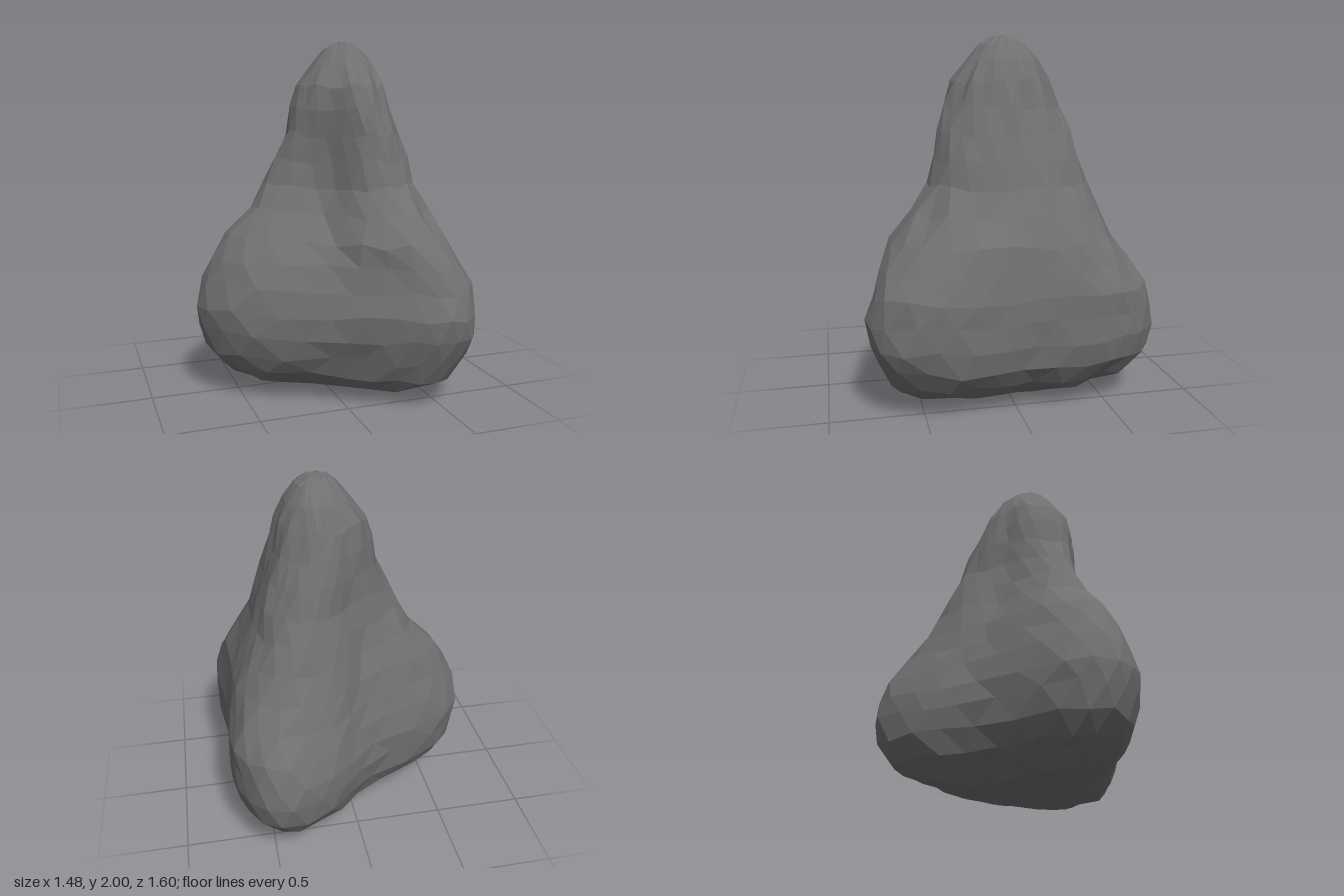
import * as THREE from 'three';

// Height, left, right, front and back limits of each cross-section
const LEVELS = [
  [0.01, -0.16, 0.37, 0.22, -0.24],
  [0.03, -0.4, 0.43, 0.4, -0.36],
  [0.09, -0.52, 0.55, 0.57, -0.53],
  [0.17, -0.61, 0.64, 0.67, -0.68],
  [0.28, -0.69, 0.715, 0.74, -0.77],
  [0.41, -0.73, 0.74, 0.79, -0.79],
  [0.53, -0.74, 0.74, 0.8, -0.78],
  [0.66, -0.7, 0.74, 0.76, -0.74],
  [0.78, -0.64, 0.71, 0.71, -0.65],
  [0.91, -0.56, 0.68, 0.66, -0.57],
  [1.06, -0.41, 0.61, 0.54, -0.5],
  [1.2, -0.33, 0.54, 0.44, -0.45],
  [1.34, -0.26, 0.5, 0.4, -0.4],
  [1.48, -0.2, 0.45, 0.37, -0.36],
  [1.62, -0.17, 0.4, 0.33, -0.31],
  [1.75, -0.13, 0.36, 0.28, -0.26],
  [1.87, -0.04, 0.31, 0.19, -0.2],
  [1.95, 0.03, 0.25, 0.12, -0.12],
  [1.985, 0.08, 0.19, 0.06, -0.06],
];

// Outlines as (0..1 across x, -1..1 across z): three lobes below, three ridges
// at mid height with a steep hollow beside the front one, rounded above
const LOBED = [[0, 0.02], [0.1, 0.32], [0.43, 0.63], [0.64, 0.87], [0.81, 1], [0.94, 0.88], [1, 0.45],
  [0.975, 0], [0.98, -0.45], [0.95, -0.78], [0.83, -1], [0.62, -0.88], [0.43, -0.58], [0.09, -0.28]];
const RIDGED = [[0, 0], [0.09, 0.27], [0.35, 0.46], [0.51, 0.87], [0.69, 1], [0.85, 0.84], [0.97, 0.45],
  [0.985, 0], [0.98, -0.45], [0.91, -0.8], [0.74, -1], [0.53, -0.9], [0.35, -0.6], [0.08, -0.3]];
const ROUND = [[0, 0], [0.08, 0.47], [0.3, 0.82], [0.48, 1], [0.65, 0.97], [0.85, 0.75], [0.97, 0.4],
  [1, 0], [0.97, -0.4], [0.85, -0.75], [0.65, -0.97], [0.48, -1], [0.3, -0.85], [0.08, -0.5]];
const SIDES = 28;

function seeded(seed) {
  return () => {
    seed = (seed * 16807) % 2147483647;
    return seed / 2147483647 - 0.5;
  };
}

// One closed ring of points; odd rings are turned by half a side
function ring([y, left, right, front, back], row, random) {
  const ridge = THREE.MathUtils.smoothstep(y, 0.65, 1.06);
  const round = THREE.MathUtils.smoothstep(y, 1.2, 1.87);
  const blend = (i, k) => THREE.MathUtils.lerp(
    THREE.MathUtils.lerp(LOBED[i][k], RIDGED[i][k], ridge), ROUND[i][k], round);
  const corners = LOBED.map((_, i) => {
    const w = blend(i, 1);
    return new THREE.Vector3(left + blend(i, 0) * (right - left), y, w > 0 ? w * front : -w * back);
  });
  const curve = new THREE.CatmullRomCurve3(corners, true);
  const rough = y < 0.05 || y > 1.85 ? 0.008 : 0.028;
  return Array.from({ length: SIDES }, (_, i) => {
    const p = curve.getPoint((i + (row % 2) / 2) / SIDES);
    // The underside rises slightly toward the left lobe
    if (y < 0.15) p.y += 0.05 * THREE.MathUtils.clamp(0.4 - p.x, 0, 0.6);
    p.y += random() * rough * 1.6;
    p.x += random() * rough * 0.5;
    p.z += random() * rough * 0.5;
    return p;
  });
}

export function createModel() {
  const random = seeded(71);
  const points = LEVELS.flatMap((level, row) => ring(level, row, random));
  const index = [];

  // Faceted walls of staggered triangles
  for (let r = 0; r < LEVELS.length - 1; r++) {
    for (let i = 0; i < SIDES; i++) {
      const j = (i + 1) % SIDES;
      const a = r * SIDES + i, b = r * SIDES + j;
      const c = a + SIDES, d = b + SIDES;
      if (r % 2) index.push(a, b, d, a, d, c);
      else index.push(a, b, c, b, d, c);
    }
  }

  // Underside and peak
  const bottom = points.push(new THREE.Vector3(0.3, 0, -0.08)) - 1;
  const peak = points.push(new THREE.Vector3(0.13, 2, 0)) - 1;
  const last = (LEVELS.length - 1) * SIDES;
  for (let i = 0; i < SIDES; i++) {
    const j = (i + 1) % SIDES;
    index.push(bottom, j, i, peak, last + i, last + j);
  }

  const indexed = new THREE.BufferGeometry().setFromPoints(points);
  indexed.setIndex(index);
  const geometry = indexed.toNonIndexed();
  geometry.computeVertexNormals();

  const rock = new THREE.Mesh(geometry, new THREE.MeshStandardMaterial({ color: 0x707070, flatShading: true }));
  rock.name = 'rock';
  const model = new THREE.Group();
  model.name = 'boulder';
  model.add(rock);
  return model;
}
